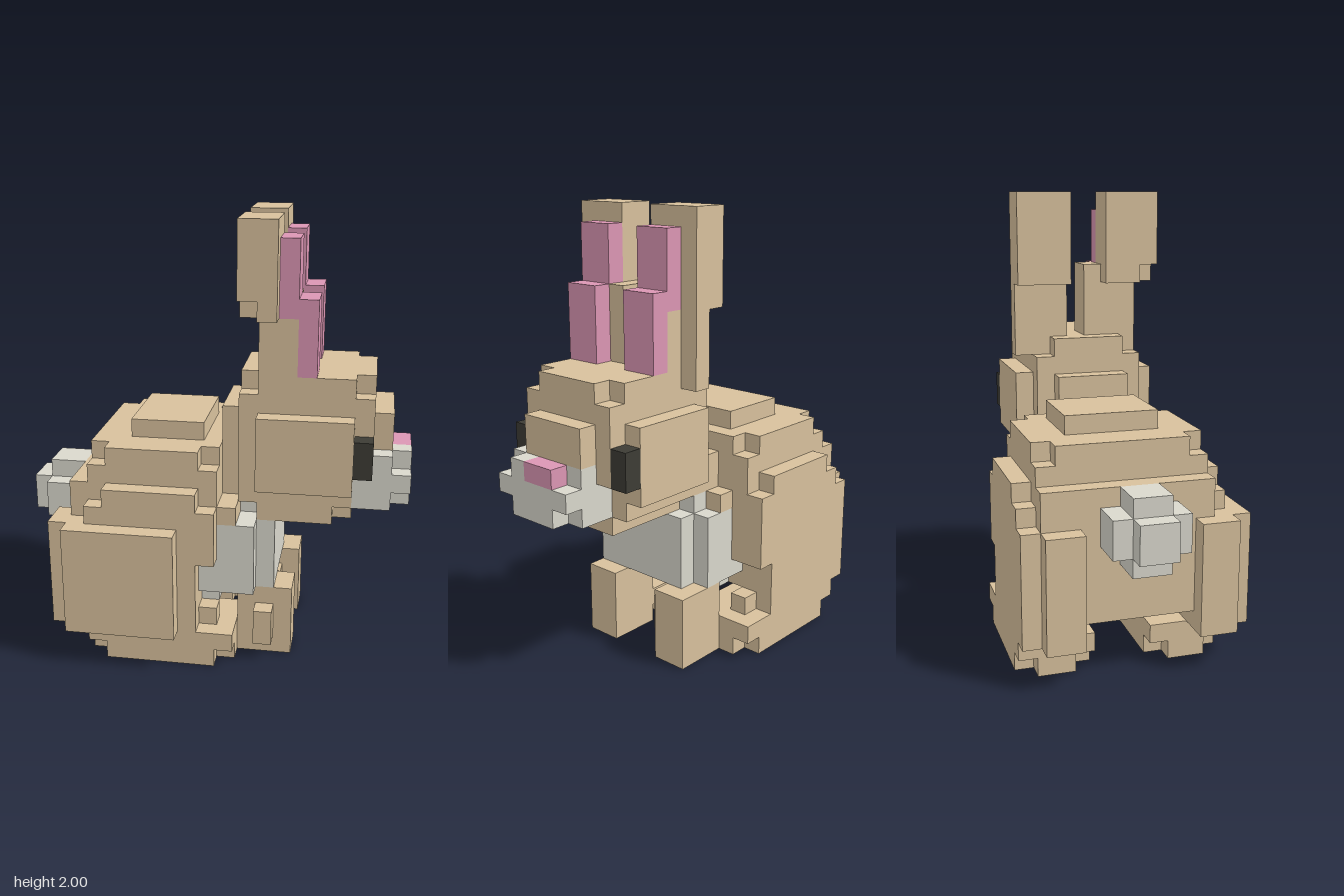
import * as THREE from 'three';

// The animal is laid out in whole cells of a 21 x 24 x 12 grid and faces +x.
const U = 1 / 12;
const flat = (name, color) => {
  const m = new THREE.MeshStandardMaterial({ color });
  m.name = name;
  return m;
};

export function createModel() {
  const tan = flat('tanFur', 0xd8c19d);
  const grey = flat('paleFur', 0xdad8cd);
  const pink = flat('pinkSkin', 0xdc96b4);
  const dark = flat('eyeDark', 0x3d3c35);
  const model = new THREE.Group();
  model.name = 'rabbit';

  // Each part is a group of boxes given as [x0,x1, y0,y1, z0,z1] in cells.
  function part(name, mat, boxes) {
    const g = new THREE.Group();
    g.name = name;
    for (const [x0, x1, y0, y1, z0, z1] of boxes) {
      const mesh = new THREE.Mesh(
        new THREE.BoxGeometry((x1 - x0) * U, (y1 - y0) * U, (z1 - z0) * U), mat);
      mesh.position.set((x0 + x1 - 21) / 2 * U, (y0 + y1) / 2 * U, (z0 + z1 - 12) / 2 * U);
      mesh.name = name + 'Block';
      g.add(mesh);
    }
    model.add(g);
  }
  // Mirrors boxes across the plane z = c.
  const both = (boxes, c) => boxes.concat(
    boxes.map(([a, b, d, e, z0, z1]) => [a, b, d, e, 2 * c - z1, 2 * c - z0]));

  // Torso, stepped inwards towards the back
  part('body', tan, [
    [3, 10, 3, 10, 1, 10],
    [10, 11, 6, 10, 1, 10],
    [4, 11, 10, 11, 1, 10],
    [5, 10, 11, 12, 1, 10],
    [4, 11, 11, 12, 2, 9],
    [6, 10, 12, 13, 3, 8],
    [10, 12, 9, 11, 3, 8],
    [11, 12, 8, 9, 2, 10],
    [10, 11, 2, 3, 4, 6],
  ]);

  // Rear legs with long feet
  part('haunch', tan, both([
    [3, 10, 2, 8, 9, 11],
    [10, 11, 6, 8, 9, 11],
    [4, 11, 8, 9, 9, 11],
    [5, 10, 9, 10, 9, 11],
  ], 5.5));
  part('haunchPad', tan, [[3, 9, 2, 8, 11, 12]]);
  part('rightKnee', tan, [[10, 11, 5, 6, 0, 2]]);
  part('haunchBack', tan, both([[2, 3, 2, 8, 9, 11]], 6));
  part('rearFoot', tan, both([
    [4, 12, 1, 2, 7, 11],
    [5, 11, 0, 1, 7, 11],
    [4, 12, 0, 1, 8, 10],
    [10, 11, 2, 3, 9, 10],
  ], 5.5));

  // Front legs
  part('frontPaw', tan, both([[12, 15, 0, 4, 7, 9]], 5.5));
  part('frontPawBump', tan, [
    [13, 14, 1, 3, 9, 10],
    [13, 14, 1, 3, 4, 5],
  ]);

  // Pale chest
  part('chest', grey, [
    [10, 13, 4, 8, 2, 10],
    [13, 14, 4, 8, 3, 9],
    [10, 12, 3, 4, 4, 8],
    [12, 13, 8, 9, 3, 8],
    [10, 11, 3, 4, 3, 9],
  ]);

  // Tail
  part('tail', grey, [
    [1, 3, 6, 10, 5, 7],
    [1, 3, 7, 9, 4, 8],
    [0, 1, 7, 9, 5, 7],
  ]);

  // Head
  part('head', tan, [
    [12, 18, 9, 15, 3, 9],
    [18, 19, 11, 15, 3, 9],
    [11, 12, 9, 14, 4, 8],
    [13, 17, 8, 9, 4, 9],
    [17, 18, 8, 9, 4, 8],
    [12, 19, 15, 16, 4, 8],
    [13, 18, 15, 16, 3, 9],
    [19, 20, 12, 14, 4, 8],
  ]);
  part('cheek', tan, both([[13, 18, 10, 14, 9, 10]], 6));
  part('eye', dark, both([[18, 19, 11, 13, 9, 10]], 6));

  // Muzzle and nose
  part('muzzle', grey, [
    [18, 19, 9, 11, 4, 9],
    [19, 20, 9, 12, 4, 9],
    [20, 21, 9, 10, 5, 8],
    [20, 21, 10, 11, 4, 9],
    [20, 21, 11, 12, 7, 8],
  ]);
  part('nose', pink, [[20, 21, 11, 12, 5, 7]]);

  // Ears, leaning back
  part('leftEar', tan, [
    [12, 14, 20, 24, 7, 10],
    [13, 14, 19, 20, 7, 10],
    [12, 13, 19, 20, 7, 9],
    [13, 15, 16, 19, 7, 9],
    [13, 15, 16, 20, 6, 7],
  ]);
  part('rightEar', tan, [
    [12, 14, 19, 24, 2, 5],
    [13, 14, 15, 19, 2, 3],
    [13, 15, 16, 19, 3, 5],
  ]);
  part('innerEar', pink, both([
    [14, 15, 19, 23, 7, 9],
    [15, 16, 16, 20, 7, 9],
  ], 6));

  return model;
}
